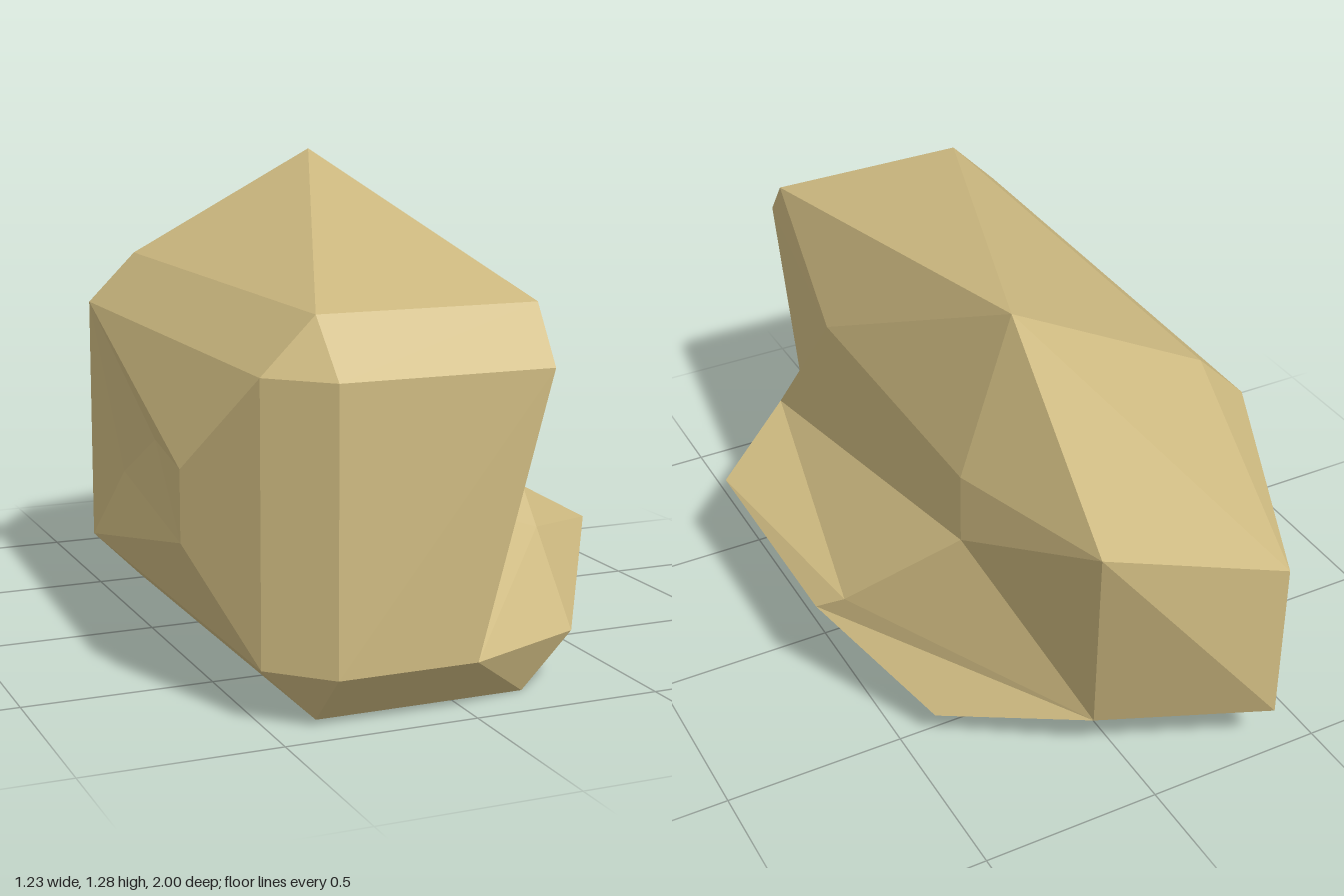
import * as THREE from 'three';

// Shared levels of the block: inner / outer x, y and z of its chamfered edges
const L = -0.505, LI = -0.365, RI = 0.195, R = 0.335;
const FOOT = 0.14, SHOULDER = 0.845, CAP = 0.985;
const F = 0.86, B = -0.545;

// Corners of the boulder
const corners = {
  // underside
  baseFL: [LI, 0, F], baseFR: [RI, 0, F], baseBL: [LI, 0, B], baseBR: [RI, 0, B],
  // front
  frontBL: [LI, FOOT, 1], frontBR: [0, FOOT, 1], frontTL: [LI, SHOULDER, 1], frontTR: [RI, SHOULDER, 1],
  // back
  backTR: [RI, SHOULDER, -1], backTL: [LI, 0.61, -1], backBL: [LI, FOOT, -1], backBR: [0.08, FOOT, -0.81],
  // top
  capFL: [LI, CAP, F], capFR: [0.22, CAP, F], capBL: [LI, CAP, B], peak: [RI, 1.28, B],
  // left side and its bulge
  sideTF: [L, SHOULDER, F], sideTB: [L, SHOULDER, B], sideBF: [L, FOOT, F], sideBB: [L, FOOT, B],
  bulgeT: [-0.615, 0.585, 0.6], bulgeB: [-0.615, 0.4, 0.6], bulgeMid: [-0.56, 0.585, 0.24], bulgeEnd: [L, 0.4, -0.22],
  // right wall
  wallTB: [R, SHOULDER, B], wallTF: [R, SHOULDER, 0.27], wallBB: [R, 0.65, B], notch: [R, 0.365, 0.67],
  cleft: [0.26, 0.39, 0.67],
  // right ledge
  ledgeFoot: [R, FOOT, F], ledgeF: [0.615, 0.31, 0.43], ledgeB: [0.615, 0.31, -0.23], ledgeKnee: [0.56, 0.365, -0.3],
  keelF: [0.415, 0.085, 0.335], keelB: [0.415, 0.085, B],
};

// Facets, each a fan of corners
const facets = [
  // underside and lower chamfers
  'baseFL baseFR baseBR baseBL', 'baseFL baseFR frontBR frontBL', 'baseFL frontBL sideBF',
  'baseFL sideBF sideBB baseBL', 'baseBL sideBB backBL', 'baseBL backBL backBR baseBR',
  // front
  'frontBL frontBR frontTR frontTL', 'frontTL frontTR capFR capFL', 'frontTL capFL sideTF',
  'frontBL frontTL sideTF sideBF',
  // top
  'peak capBL capFL', 'peak capFL capFR', 'capFL capBL sideTB sideTF',
  'peak capFR wallTF', 'peak wallTF wallTB', 'peak wallTB backTR',
  // back
  'peak backTR backTL', 'peak backTL capBL', 'capBL backTL sideTB', 'backTL backBL sideBB sideTB',
  'backTR backTL backBL backBR', 'backTR wallTB wallBB', 'backTR wallBB backBR',
  // left bulge
  'sideTF sideTB bulgeT', 'sideTF bulgeT bulgeB sideBF', 'sideTB bulgeT bulgeMid',
  'sideTB bulgeMid bulgeEnd', 'sideTB bulgeEnd sideBB', 'bulgeMid bulgeT bulgeB',
  'bulgeMid bulgeB bulgeEnd', 'bulgeEnd bulgeB sideBB', 'bulgeB sideBF sideBB',
  // right wall and cleft
  'wallTB wallBB notch wallTF', 'frontTR capFR wallTF', 'frontTR wallTF cleft', 'frontTR cleft frontBR',
  'cleft wallTF notch', 'frontBR cleft notch', 'frontBR notch ledgeFoot',
  // ledge
  'notch wallBB ledgeKnee', 'notch ledgeKnee ledgeF', 'ledgeKnee ledgeB ledgeF', 'notch ledgeF ledgeFoot',
  'backBR wallBB ledgeKnee', 'backBR ledgeKnee ledgeB', 'backBR ledgeB keelB', 'backBR keelB baseBR',
  'ledgeF ledgeB keelB keelF', 'ledgeF keelF ledgeFoot', 'ledgeFoot keelF baseFR',
  'baseFR keelF keelB baseBR', 'frontBR ledgeFoot baseFR',
];

// Triangulates the facets, turning each triangle away from the core
function facetGeometry() {
  const core = new THREE.Vector3(0, 0.3, 0);
  const points = [];
  for (const facet of facets) {
    const v = facet.split(' ').map((n) => new THREE.Vector3(...corners[n]));
    for (let i = 1; i < v.length - 1; i++) {
      const [a, b, c] = [v[0], v[i], v[i + 1]];
      const normal = b.clone().sub(a).cross(c.clone().sub(a));
      const outward = normal.dot(a.clone().sub(core)) > 0;
      points.push(a, outward ? b : c, outward ? c : b);
    }
  }
  const geometry = new THREE.BufferGeometry().setFromPoints(points);
  geometry.computeVertexNormals();
  return geometry;
}

export function createModel() {
  const group = new THREE.Group();
  group.name = 'boulder';
  const material = new THREE.MeshStandardMaterial({ color: 0xcdb980, flatShading: true });
  const rock = new THREE.Mesh(facetGeometry(), material);
  rock.name = 'rock';
  group.add(rock);
  return group;
}
